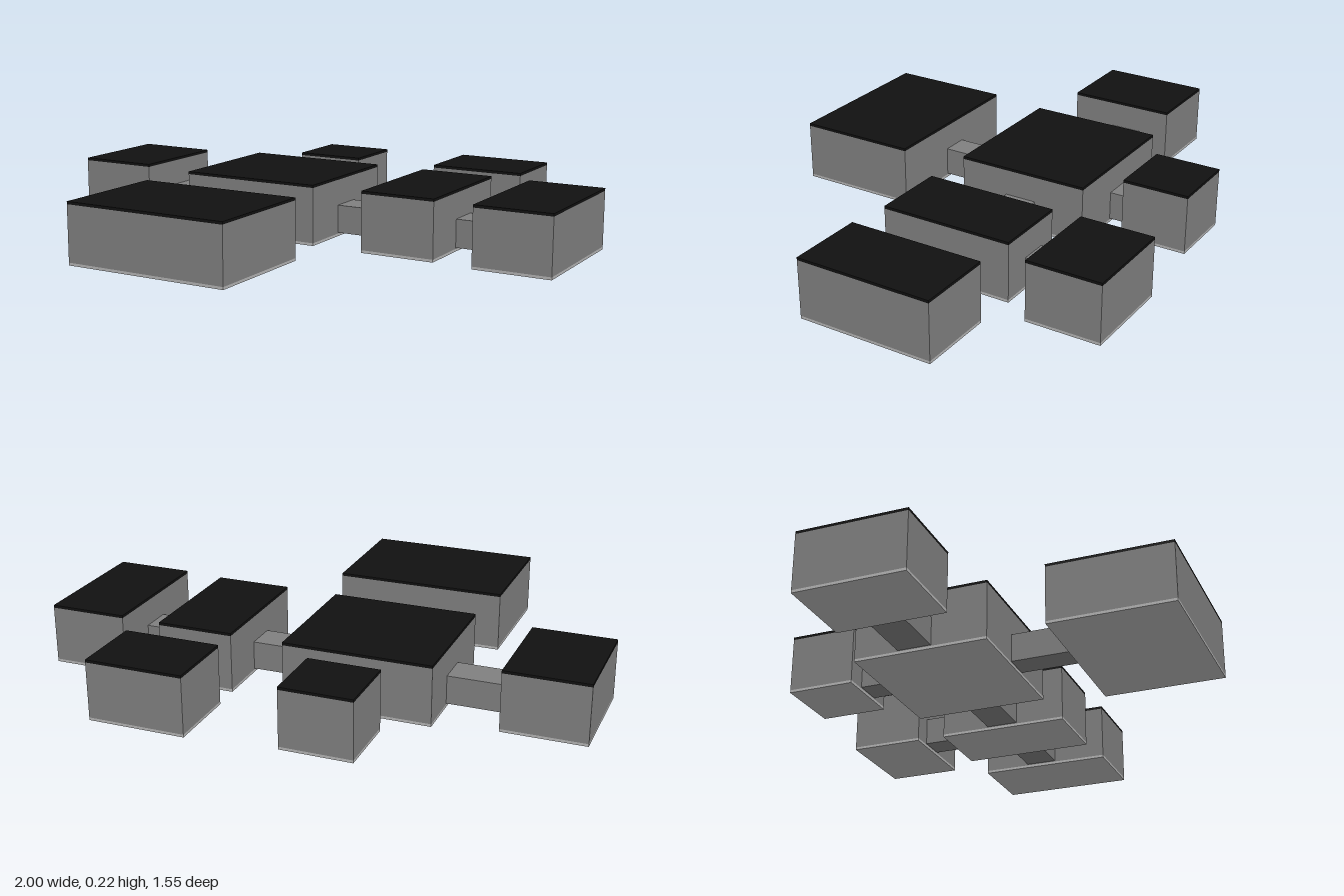
import * as THREE from 'three';

const material = (color) => new THREE.MeshStandardMaterial({ color });

// Box given by its extents on each axis
function block(name, [x0, x1], [y0, y1], [z0, z1], mat) {
  const mesh = new THREE.Mesh(new THREE.BoxGeometry(x1 - x0, y1 - y0, z1 - z0), mat);
  mesh.position.set((x0 + x1) / 2, (y0 + y1) / 2, (z0 + z1) / 2);
  mesh.name = name;
  return mesh;
}

export function createModel() {
  const model = new THREE.Group();
  model.name = 'connectedRooms';
  const wallMat = material(0x808080);
  const floorMat = material(0xb4b4b4);
  const roofMat = material(0x111111);

  // Rooms: floor slab, walls and dark roof slab
  const rooms = {
    westRoom: [[-1, -0.695], [-0.35, 0.053]],
    centralRoom: [[-0.472, 0.075], [-0.4, 0.1]],
    innerEastRoom: [[0.275, 0.558], [-0.393, 0.104]],
    outerEastRoom: [[0.712, 1], [-0.385, 0.123]],
    backEastRoom: [[0.27, 0.63], [-0.777, -0.5]],
    backRoom: [[-0.322, -0.058], [-0.74, -0.49]],
    frontRoom: [[-0.502, 0.135], [0.322, 0.773]],
  };
  for (const [name, [x, z]] of Object.entries(rooms)) {
    const room = new THREE.Group();
    room.name = name;
    room.add(
      block('floor', x, [0, 0.01], z, floorMat),
      block('walls', x, [0.01, 0.215], z, wallMat),
      block('roof', x, [0.215, 0.225], z, roofMat),
    );
    model.add(room);
  }

  // Low corridors bridging the gaps between rooms
  const corridors = {
    westCorridor: [[-0.695, -0.472], [-0.233, -0.107]],
    innerEastCorridor: [[0.075, 0.275], [-0.205, -0.085]],
    outerEastCorridor: [[0.558, 0.712], [-0.205, -0.085]],
    backCorridor: [[-0.242, -0.138], [-0.49, -0.4]],
    backEastCorridor: [[0.347, 0.45], [-0.5, -0.393]],
    frontCorridor: [[-0.247, -0.144], [0.1, 0.322]],
  };
  for (const [name, [x, z]] of Object.entries(corridors)) {
    model.add(block(name, x, [0.014, 0.119], z, wallMat));
  }
  return model;
}
